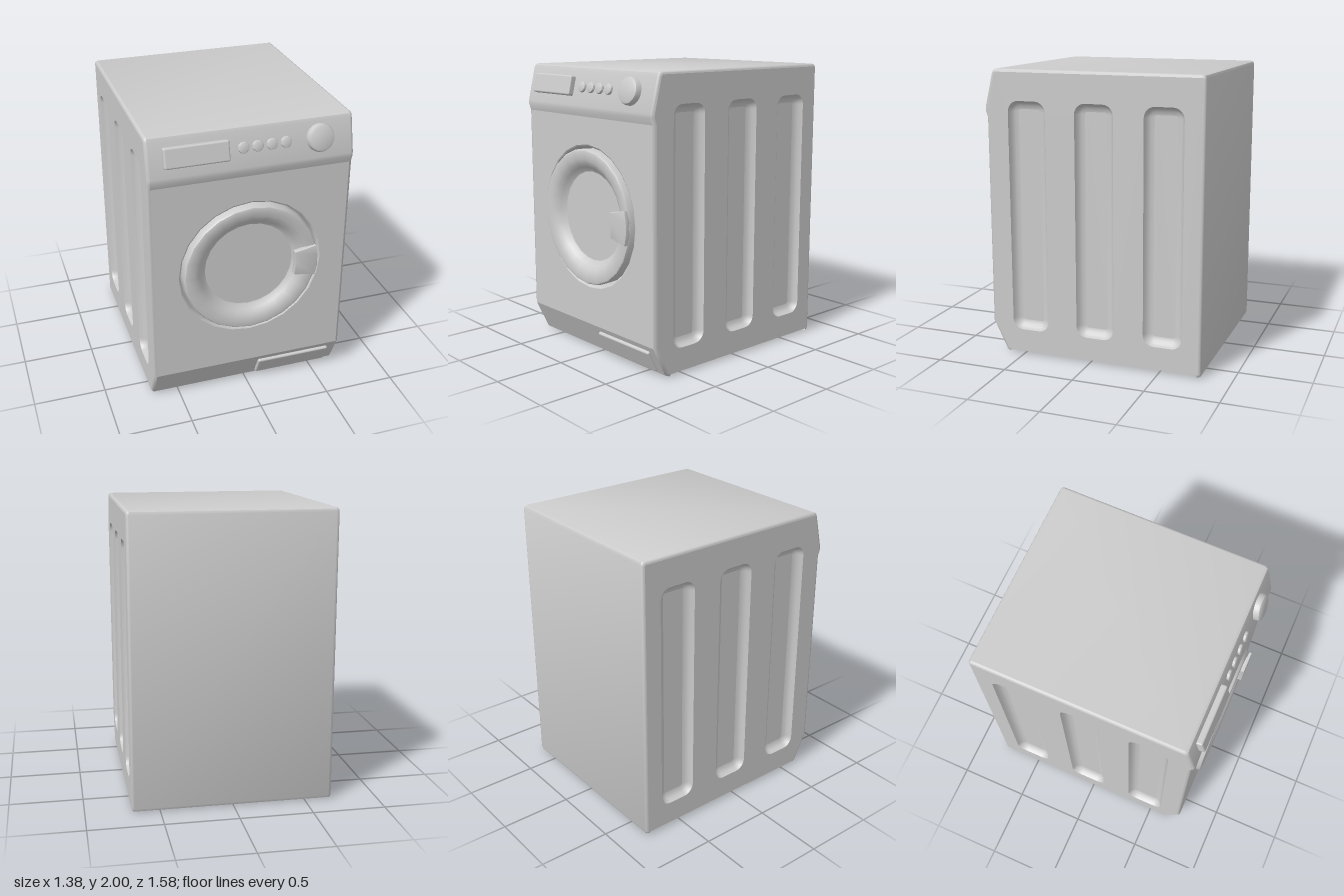
import * as THREE from 'three';
import { RoundedBoxGeometry } from 'three/addons/geometries/RoundedBoxGeometry.js';
import { toCreasedNormals } from 'three/addons/utils/BufferGeometryUtils.js';

const HALF = 0.69;    // half width of the cabinet
const EDGE = 0.02;    // rounding of the cabinet's side edges
const DOOR_Y = 0.985;
const SIDES = 24;     // sides of the round door parts
const material = new THREE.MeshStandardMaterial({ color: 0xcccccc, side: THREE.DoubleSide });
const V2 = (x, y) => new THREE.Vector2(x, y);
const V3 = (x, y, z) => new THREE.Vector3(x, y, z);

function mesh(name, geometry, crease = 0.7) {
  const m = new THREE.Mesh(crease ? toCreasedNormals(geometry, crease) : geometry, material);
  m.name = name;
  return m;
}

// Skin between successive rows of points; keep(i) can leave out a strip
function loft(rows, closed = false, keep = () => true) {
  const n = rows[0].length, index = [];
  for (let j = 0; j < rows.length - 1; j++) {
    for (let i = 0; i < (closed ? n : n - 1); i++) {
      if (!keep(i)) continue;
      const k = (i + 1) % n, a = j * n + i, b = j * n + k;
      index.push(a, b, b + n, a, b + n, a + n);
    }
  }
  const g = new THREE.BufferGeometry().setFromPoints(rows.flat());
  g.setIndex(index);
  return g;
}

// Turned part whose axis points to the front; points are (radius, z)
function turned(points, segments) {
  return new THREE.LatheGeometry(points.map(p => V2(...p)), segments).rotateX(Math.PI / 2);
}

// Cabinet outline (z, y): front foot, over the top, down to the back foot
const outline = [
  [0.61, 0], [0.638, 0.012], [0.74, 0.22], [0.74, 1.67], [0.755, 1.715], [0.755, 1.74],
  [0.7, 1.97], [0.691, 1.99], [0.67, 2], [-0.765, 2], [-0.782, 1.993], [-0.79, 1.975],
  [-0.79, 0.025], [-0.783, 0.007], [-0.765, 0],
].map(p => V2(...p));
const FRONT_STRIP = 2; // outline segment replaced by the panel with the door opening

// Outline moved inward by d with mitred corners
function insetOutline(d) {
  const normal = i => {
    const t = outline[i + 1].clone().sub(outline[i]).normalize();
    return V2(-t.y, t.x);
  };
  return outline.map((p, i) => {
    const a = normal(Math.max(i - 1, 0)), b = normal(Math.min(i, outline.length - 2));
    return a.clone().add(b).multiplyScalar(d / (1 + a.dot(b))).add(p);
  });
}

// Rounded rectangle loop (z, y) of one side recess, shrunk by d
function recessLoop(z, d) {
  const r = 0.075, hw = 0.136, y0 = 0.18, y1 = 1.79, points = [];
  const corners = [[z + hw - r, y1 - r], [z - hw + r, y1 - r], [z - hw + r, y0 + r], [z + hw - r, y0 + r]];
  corners.forEach(([cx, cy], q) => {
    for (let i = 0; i <= 6; i++) {
      const a = (q + i / 6) * Math.PI / 2;
      points.push(V2(cx + (r - d) * Math.cos(a), cy + (r - d) * Math.sin(a)));
    }
  });
  return points;
}

// Side wall at +x with rounded edge and three pressed recesses
function makeSide() {
  const side = new THREE.Group();
  const rows = [];
  for (let i = 0; i <= 4; i++) {
    const a = i / 4 * Math.PI / 2;
    const x = HALF - EDGE + EDGE * Math.sin(a);
    rows.push(insetOutline(EDGE * (1 - Math.cos(a))).map(p => V3(x, p.y, p.x)));
  }
  side.add(mesh('sideEdge', loft(rows), 0.9));

  const wall = new THREE.Shape(insetOutline(EDGE));
  const flat = (shape, x) => new THREE.ShapeGeometry(shape).rotateY(-Math.PI / 2).translate(x, 0, 0);
  for (const z of [0.445, -0.038, -0.52]) {
    wall.holes.push(new THREE.Path(recessLoop(z, 0)));
    const steps = [[0, 0], [0.006, 0.012], [0.016, 0.03], [0.034, 0.045], [0.058, 0.05]];
    const walls = steps.map(([d, depth]) => recessLoop(z, d).map(p => V3(HALF - depth, p.y, p.x)));
    side.add(mesh('recessWall', loft(walls, true), 1));
    side.add(mesh('recessFloor', flat(new THREE.Shape(recessLoop(z, 0.058)), HALF - 0.05), 0));
  }
  side.add(mesh('sideWall', flat(wall, HALF), 0));
  return side;
}

function makeCabinet() {
  const cabinet = new THREE.Group();
  cabinet.name = 'cabinet';
  const left = makeSide();
  left.name = 'leftSide';
  const right = left.clone();
  right.name = 'rightSide';
  right.scale.x = -1;

  // Bottom lip, control fascia, top and back as one strip
  const w = HALF - EDGE;
  const rows = [-w, w].map(x => outline.map(p => V3(x, p.y, p.x)));
  const wrap = mesh('topBackAndFascia', loft(rows, false, i => i !== FRONT_STRIP), 0.6);

  // Front panel with the round door opening
  const panel = new THREE.Shape([V2(-w, 0.22), V2(w, 0.22), V2(w, 1.67), V2(-w, 1.67)]);
  panel.holes.push(new THREE.Path().absarc(0, DOOR_Y, 0.5, 0, Math.PI * 2, true));
  const front = mesh('frontPanel', new THREE.ShapeGeometry(panel, SIDES / 2).translate(0, 0, 0.74), 0);
  cabinet.add(left, right, wrap, front);
  return cabinet;
}

function makeDoor() {
  const door = new THREE.Group();
  door.name = 'door';
  // Dished door with a flat window
  door.add(mesh('doorRing', turned([
    [0.31, 0.7], [0.32, 0.705], [0.345, 0.73], [0.37, 0.752], [0.4, 0.764],
    [0.45, 0.77], [0.463, 0.766], [0.47, 0.755], [0.47, 0.69],
  ], SIDES)));
  door.add(mesh('window', new THREE.CircleGeometry(0.31, SIDES).translate(0, 0, 0.7), 0));
  // Drum running back from the opening
  door.add(mesh('drum', turned([
    [0.5, 0.74], [0.491, 0.735], [0.485, 0.72], [0.483, 0.69], [0.483, -0.15], [0.46, -0.19], [0.42, -0.2], [0, -0.2],
  ], SIDES)));
  // Wedge-shaped handle on the door's left
  const grip = new THREE.Shape([
    V2(0.298, -0.085), V2(0.445, -0.113), V2(0.46, -0.04), V2(0.46, 0.04), V2(0.445, 0.113), V2(0.298, 0.085), V2(0.305, 0),
  ]);
  const handle = new THREE.ExtrudeGeometry(grip, {
    depth: 0.03, bevelThickness: 0.005, bevelSize: 0.005, bevelOffset: -0.003, bevelSegments: 2,
  });
  door.add(mesh('doorHandle', handle.translate(0, 0, 0.755), 0.6));
  door.position.y = DOOR_Y;
  return door;
}

// Round control with a softened front edge
function dial(name, x, r, h) {
  const b = Math.min(r * 0.25, h * 0.6);
  const m = mesh(name, turned([[0, h], [r - b, h], [r - b * 0.3, h - b * 0.3], [r, h - b], [r, -0.02]], 28));
  m.position.x = x;
  return m;
}

function makeControls() {
  const controls = new THREE.Group();
  controls.name = 'controls';
  controls.position.set(0, 1.866, 0.725);
  controls.rotation.x = -0.235;
  const drawer = mesh('detergentDrawer', new RoundedBoxGeometry(0.424, 0.135, 0.07, 3, 0.012), 0);
  drawer.position.set(-0.37, 0, 0.005);
  controls.add(drawer);
  for (let i = 0; i < 4; i++) controls.add(dial('button', -0.06 + i * 0.095, 0.037, 0.018));
  controls.add(dial('programKnob', 0.455, 0.092, 0.045));
  return controls;
}

export function createModel() {
  const model = new THREE.Group();
  model.name = 'washingMachine';
  // Filter flap on the sloped foot
  const flap = mesh('filterFlap', new RoundedBoxGeometry(0.535, 0.165, 0.04, 3, 0.012), 0);
  flap.position.set(0.345, 0.108, 0.686);
  flap.rotation.x = 0.453;
  model.add(makeCabinet(), makeDoor(), makeControls(), flap);
  return model;
}
